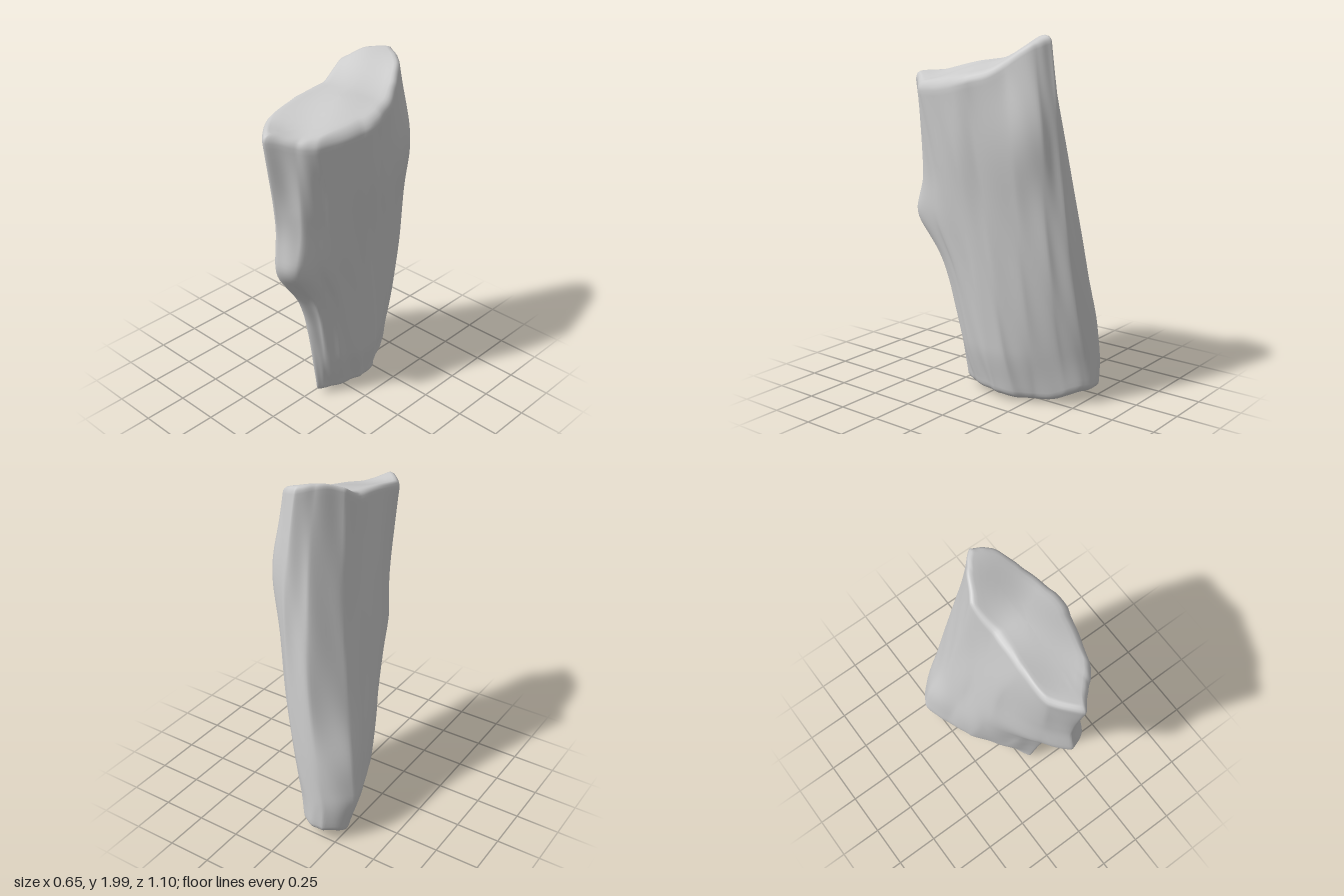
import * as THREE from 'three';

// Outlines [x, z] at three heights, running front, +x side, back, -x side.
const LOW = [[0.04, 0.21], [0.1, 0.18], [0.15, 0.09], [0.185, -0.05], [0.17, -0.17], [0.11, -0.3], [0.03, -0.44],
  [-0.06, -0.53], [-0.2, -0.545], [-0.315, -0.41], [-0.28, -0.25], [-0.215, -0.08], [-0.095, 0.09]];
const MID = [[0.06, 0.48], [0.15, 0.41], [0.195, 0.27], [0.24, 0.04], [0.235, -0.1], [0.195, -0.28], [0.13, -0.41],
  [0.05, -0.49], [-0.08, -0.48], [-0.19, -0.3], [-0.185, -0.12], [-0.178, 0.09], [-0.05, 0.35]];
const TOP = [[0.05, 0.54], [0.16, 0.43], [0.24, 0.37], [0.32, 0.12], [0.315, -0.03], [0.225, -0.22], [0.14, -0.35],
  [0.06, -0.395], [-0.02, -0.33], [-0.105, -0.175], [-0.09, 0], [-0.085, 0.2], [-0.08, 0.41]];
const LEVELS = [0.3, 1, 1.85];
const REACHES = [0.21, 0.48, 0.54];

// Front reach as [y, z]: narrow foot, overhanging bulge, upright upper part.
const FRONT = [[0, 0.165], [0.2, 0.2], [0.4, 0.235], [0.6, 0.28], [0.75, 0.34], [0.87, 0.43], [0.98, 0.5],
  [1.08, 0.495], [1.22, 0.48], [1.4, 0.495], [1.6, 0.525], [1.8, 0.55], [2.1, 0.56]];

// Local swellings and hollows: [outline position, y, width along outline, width in y, amount].
const BULGES = [
  [0.45, 1.45, 0.45, 0.28, -0.02], // front groove
  [1, 1, 0.6, 0.12, 0.03], // front knob
  [3.5, 1.4, 1, 0.25, 0.015], // +x side
  [5.6, 1.5, 0.9, 0.27, 0.05], // back shoulder
  [9, 0.5, 0.9, 0.2, 0.03], // -x heel
];

const curves = [LOW, MID, TOP].map((ring) => new THREE.CatmullRomCurve3(
  ring.map(([x, z]) => new THREE.Vector3(x, 0, z)), true, 'catmullrom', 0.3));

function reachAt(y) {
  let i = 0;
  while (i < FRONT.length - 2 && y > FRONT[i + 1][0]) i++;
  const [y0, z0] = FRONT[i], [y1, z1] = FRONT[i + 1];
  return THREE.MathUtils.lerp(z0, z1, THREE.MathUtils.clamp((y - y0) / (y1 - y0), 0, 1));
}

// Averaged over a short span so the profile has no kinks.
const frontReach = (y) => [-0.05, -0.025, 0, 0.025, 0.05].reduce((sum, d) => sum + reachAt(y + d) / 5, 0);

// Side surface at turn u (0..1) and height y.
function sidePoint(u, y) {
  const [a, b, c] = LEVELS;
  const w = [
    (y - b) * (y - c) / ((a - b) * (a - c)),
    (y - a) * (y - c) / ((b - a) * (b - c)),
    (y - a) * (y - b) / ((c - a) * (c - b)),
  ];
  const p = new THREE.Vector3();
  let reach = 0;
  curves.forEach((curve, i) => {
    p.addScaledVector(curve.getPoint(u), w[i]);
    reach += w[i] * REACHES[i];
  });
  if (p.z > 0) p.z *= frontReach(y) / reach;
  // The foot tucks in, and the back stays upright.
  p.x += (0.05 - p.x) * 0.24 * (1 - THREE.MathUtils.smoothstep(y, 0, 0.3));
  p.z = Math.max(p.z, -0.55);

  // Lengthwise grain over the bulges.
  const t = u * Math.PI * 2;
  let swell = 0.004 * Math.sin(9 * t + 1.5 * Math.sin(2.3 * y)) * Math.sin(2.7 * y + 2 * t)
    + 0.003 * Math.sin(17 * t + 3 * y) * Math.sin(6 * y + 3 * t);
  for (const [at, height, wide, tall, amount] of BULGES) {
    swell += amount * Math.exp(-(((u * LOW.length - at) / wide) ** 2) - (((y - height) / tall) ** 2));
  }
  const out = new THREE.Vector3(p.x * 1.5, 0, p.z).normalize();
  return p.addScaledVector(out, swell);
}

// Sloping upper face, steepest toward the back, and lumpy underside.
const topY = (x, z) => 1.86 - 0.2 * z - 0.22 * x
  + 0.075 * THREE.MathUtils.smoothstep(-z - 0.3 * x, 0, 0.32)
  + 0.03 * THREE.MathUtils.smoothstep(z, 0.38, 0.55)
  + 0.006 * Math.sin(13 * z + 5 * x) + 0.004 * Math.sin(17 * x - 9 * z);
const bottomY = (x, z) => 0.025 + 0.008 * Math.sin(11 * x + 8 * z)
  + 0.045 * THREE.MathUtils.smoothstep(-z, 0.36, 0.54)
  - 0.03 * Math.exp(-(((x + 0.2) / 0.07) ** 2) - (((z + 0.29) / 0.1) ** 2))
  + 0.03 * Math.exp(-(((x + 0.14) / 0.04) ** 2) - (((z + 0.1) / 0.1) ** 2));

function createChunkGeometry() {
  const around = 130, rows = 60, rim = 0.045;

  // One end: the rounded rim, then rings shrinking to the middle.
  function endRings(heightAt, sign) {
    const edge = [];
    for (let i = 0; i < around; i++) {
      const guess = sidePoint(i / around, sign > 0 ? 1.85 : 0.05);
      const y = heightAt(guess.x, guess.z) - sign * rim;
      edge.push(sidePoint(i / around, y).setY(y));
    }
    const middle = edge.reduce((sum, p) => sum.add(p), new THREE.Vector3()).divideScalar(around);
    const rings = [edge];
    const add = (inset, shrink, rise) => rings.push(edge.map((p) => {
      const d = new THREE.Vector3(middle.x - p.x, 0, middle.z - p.z);
      const q = p.clone().addScaledVector(d, inset / d.length());
      q.lerp(new THREE.Vector3(middle.x, 0, middle.z), shrink);
      return q.setY(THREE.MathUtils.lerp(p.y, heightAt(q.x, q.z), rise));
    }));
    for (let k = 1; k <= 3; k++) {
      const angle = k * Math.PI / 8;
      add(rim * (1 - Math.cos(angle)), 0, Math.sin(angle));
    }
    for (const s of [0, 0.12, 0.25, 0.4, 0.55, 0.7, 0.85, 1]) add(rim, s, 1);
    return rings;
  }

  const foot = endRings(bottomY, -1), head = endRings(topY, 1);
  const grid = foot.slice().reverse();
  for (let r = 1; r < rows; r++) {
    grid.push(foot[0].map((p, i) => {
      const y = THREE.MathUtils.lerp(p.y, head[0][i].y, r / rows);
      return sidePoint(i / around, y).setY(y);
    }));
  }
  grid.push(...head);

  const index = [];
  for (let r = 0; r < grid.length - 1; r++) {
    for (let i = 0; i < around; i++) {
      const j = (i + 1) % around;
      const a = r * around + i, b = r * around + j;
      index.push(a, b, b + around, a, b + around, a + around);
    }
  }
  const geometry = new THREE.BufferGeometry().setFromPoints(grid.flat());
  geometry.setIndex(index);

  // Stand on the ground, centred.
  geometry.computeBoundingBox();
  const { min, max } = geometry.boundingBox;
  geometry.translate(-(min.x + max.x) / 2, -min.y, -(min.z + max.z) / 2);
  geometry.computeVertexNormals();
  return geometry;
}

export function createModel() {
  const group = new THREE.Group();
  group.name = 'rockChunk';
  const material = new THREE.MeshStandardMaterial({ color: 0xcccccc });
  const chunk = new THREE.Mesh(createChunkGeometry(), material);
  chunk.name = 'leaningSlab';
  group.add(chunk);
  return group;
}
